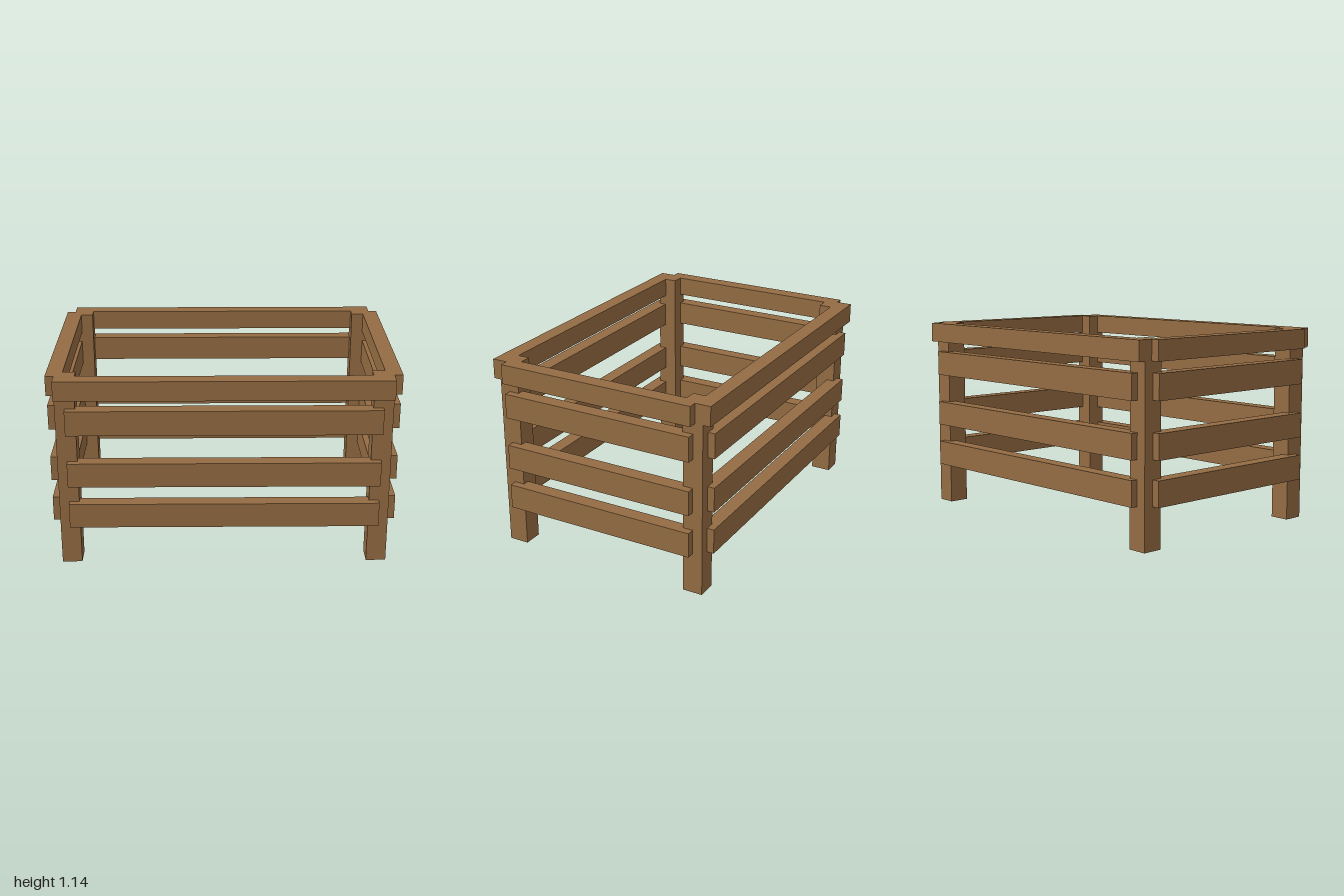
import * as THREE from 'three';

export function createModel() {
  const group = new THREE.Group();
  group.name = 'slattedCrate';
  const wood = new THREE.MeshStandardMaterial({ color: 0x946c43, flatShading: true });

  // Box given by its min and max on each axis
  const board = (name, [x0, x1], [y0, y1], [z0, z1]) => {
    const mesh = new THREE.Mesh(new THREE.BoxGeometry(x1 - x0, y1 - y0, z1 - z0), wood);
    mesh.position.set((x0 + x1) / 2, (y0 + y1) / 2, (z0 + z1) / 2);
    mesh.name = name;
    group.add(mesh);
  };
  // Range on the positive or negative side of an axis
  const side = (s, a, b) => (s > 0 ? [a, b] : [-b, -a]);

  const top = 1.143, railBottom = 1.027;
  const slatHeights = [[0.245, 0.392], [0.5, 0.646], [0.818, 0.965]];

  // Corner posts
  for (const sx of [1, -1]) for (const sz of [1, -1]) {
    board(`${sz > 0 ? 'front' : 'back'}${sx > 0 ? 'Left' : 'Right'}Post`,
      side(sx, 0.835, 0.95), [0, top], side(sz, 0.532, 0.652));
  }

  for (const s of [1, -1]) {
    const long = s > 0 ? 'front' : 'back', short = s > 0 ? 'left' : 'right';

    // Top rails
    board(`${long}TopRail`, [-0.95, 0.95], [railBottom, top], side(s, 0.605, 0.697));
    board(`${short}TopRail`, side(s, 0.907, 1), [railBottom, top], [-0.604, 0.604]);

    // Slats, slightly shorter than the rails and let into the posts
    slatHeights.forEach((y, i) => {
      board(`${long}Slat${i + 1}`, [-0.892, 0.892], y, side(s, 0.607, 0.693));
      board(`${short}Slat${i + 1}`, side(s, 0.909, 0.996), y, [-0.593, 0.593]);
    });
  }
  return group;
}
